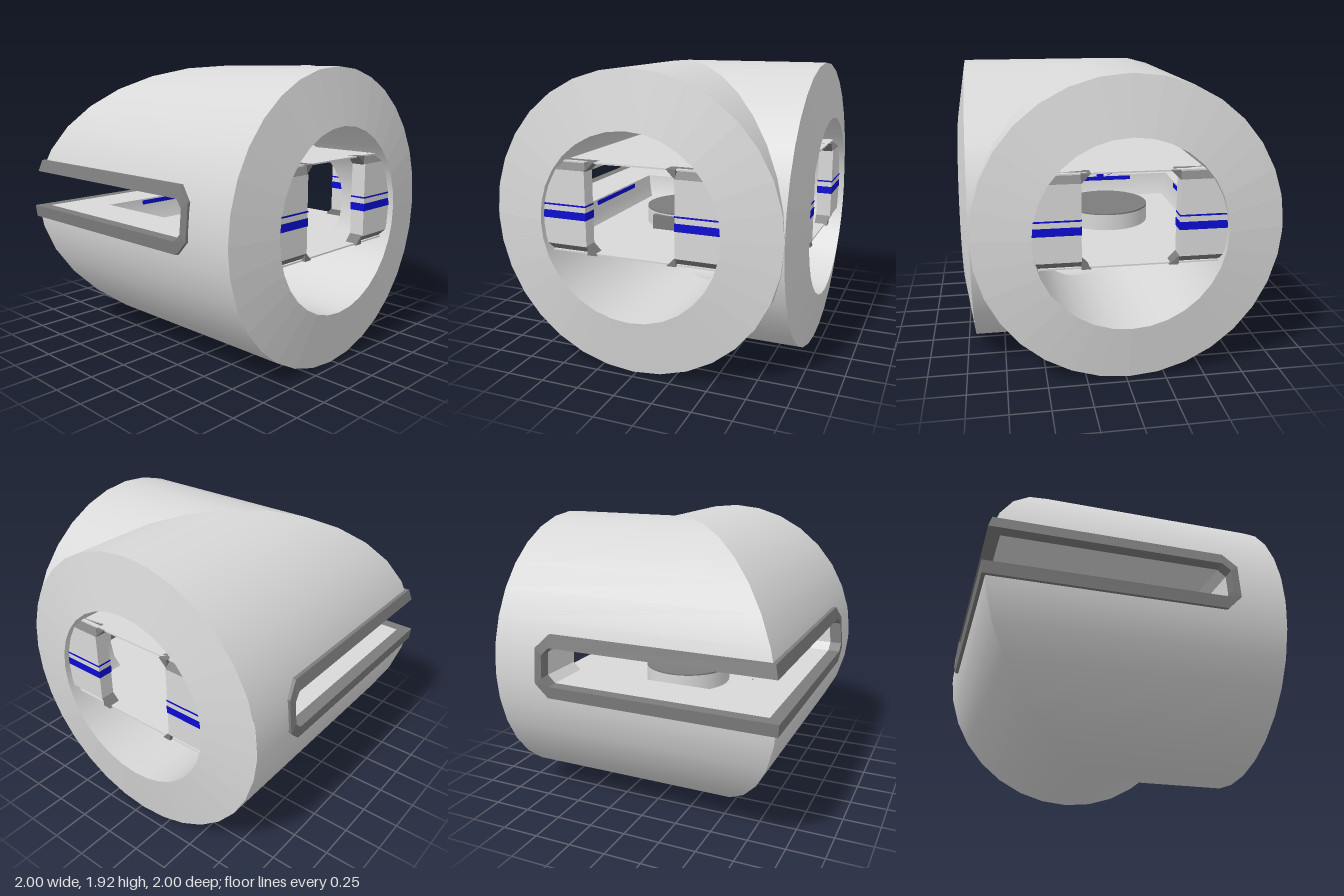
import * as THREE from 'three';

const C = -0.02, CY = 0.965, R = 0.96, BORE = 0.6, RIM = 0.94, FACE = 1.0;
const SLOT = { y0: 0.93, y1: 1.18, end: 0.57, cut: 0.05 };
const TRIM = { y0: 0.85, y1: 1.26, end: 0.62, cut: 0.09 };

const mat = (name, color) => {
  const m = new THREE.MeshStandardMaterial({ color, side: THREE.DoubleSide });
  m.name = name;
  return m;
};

// Geometry from four-cornered patches, with optional radial normals
function patches(quads, normals) {
  const pos = [], nor = [];
  quads.forEach((q, i) => {
    for (const k of [0, 1, 2, 0, 2, 3]) {
      pos.push(...q[k]);
      if (normals) nor.push(...normals[i][k]);
    }
  });
  const g = new THREE.BufferGeometry();
  g.setAttribute('position', new THREE.Float32BufferAttribute(pos, 3));
  if (normals) g.setAttribute('normal', new THREE.Float32BufferAttribute(nor, 3));
  else g.computeVertexNormals();
  return g;
}

// The second arm is the first with x and z exchanged
function swapped(geometry) {
  const g = geometry.index ? geometry.toNonIndexed() : geometry.clone();
  g.applyMatrix4(new THREE.Matrix4().set(0, 0, 1, 0, 0, 1, 0, 0, 1, 0, 0, 0, 0, 0, 0, 1));
  for (const a of Object.values(g.attributes)) {
    const n = a.itemSize;
    for (let i = 0; i < a.count; i += 3) {
      for (let k = 0; k < n; k++) {
        const p = (i + 1) * n + k, q = (i + 2) * n + k;
        [a.array[p], a.array[q]] = [a.array[q], a.array[p]];
      }
    }
  }
  return g;
}

// Tube wall along z, mitred on the diagonal and open at the corner slot
function tubeWall(r, end, inward) {
  const angles = [];
  for (let i = 0; i <= 32; i++) angles.push(i / 32 * Math.PI * 2);
  const { y0, y1, cut } = SLOT;
  for (const y of [y0, y0 + cut, y1 - cut, y1]) angles.push(Math.PI - Math.asin((y - CY) / r));
  angles.sort((a, b) => a - b);
  const quads = [], normals = [];
  for (let i = 0; i + 1 < angles.length; i++) {
    const a = angles[i], b = angles[i + 1];
    if (b - a < 1e-5) continue;
    const m = (a + b) / 2, my = CY + r * Math.sin(m);
    const open = Math.cos(m) < 0 && my > y0 && my < y1;
    const start = (t) => {
      if (!open) return C + r * Math.cos(t);
      const y = CY + r * Math.sin(t);
      return SLOT.end - Math.max(0, cut - Math.min(y - y0, y1 - y));
    };
    const pt = (t, z) => [C + r * Math.cos(t), CY + r * Math.sin(t), z];
    const s = inward ? -1 : 1;
    const n = (t) => [s * Math.cos(t), s * Math.sin(t), 0];
    const q = [pt(a, start(a)), pt(b, start(b)), pt(b, end), pt(a, end)];
    const qn = [n(a), n(b), n(b), n(a)];
    quads.push(inward ? q.reverse() : q);
    normals.push(inward ? qn.reverse() : qn);
  }
  return patches(quads, normals);
}

// Gently coned ring that closes the tube end
function endRing() {
  const quads = [];
  for (let i = 0; i < 32; i++) {
    const pt = (k, r, z) => {
      const t = k / 32 * Math.PI * 2;
      return [C + r * Math.cos(t), CY + r * Math.sin(t), z];
    };
    quads.push([pt(i, BORE, FACE), pt(i, R, RIM), pt(i + 1, R, RIM), pt(i + 1, BORE, FACE)]);
  }
  return patches(quads);
}

// Chamfered slot outline laid on a cylinder of radius r, starting at the mitre
function slotLoop({ y0, y1, end, cut }, r) {
  return [[y0], [y0, end - cut], [y0 + cut, end], [y1 - cut, end], [y1, end - cut], [y1]].map(([y, z]) => {
    const x = C - Math.sqrt(r * r - (y - CY) ** 2);
    return [x, y, z === undefined ? x : z];
  });
}
function bridge(a, b) {
  const quads = [];
  for (let i = 0; i + 1 < a.length; i++) quads.push([a[i], a[i + 1], b[i + 1], b[i]]);
  return quads;
}

function box(w, h, d, x, y, z) {
  return new THREE.BoxGeometry(w, h, d).translate(x, y, z);
}

// Cross-section given as [z, y], extruded along x
function barAlongX(points, x0, x1) {
  const s = new THREE.Shape(points.map(([z, y]) => new THREE.Vector2(-z, y)));
  return new THREE.ExtrudeGeometry(s, { depth: x1 - x0, bevelEnabled: false }).rotateY(Math.PI / 2).translate(x0, 0, 0);
}

export function createModel() {
  const model = new THREE.Group();
  model.name = 'elbowModule';
  const shell = mat('light grey shell', 0xd8d8d8);
  const dark = mat('dark grey trim', 0x7c7c7c);
  const blue = mat('blue accent', 0x0c0cd0);
  const add = (name, g, m, parent = model) => {
    const mesh = new THREE.Mesh(g, m);
    mesh.name = name;
    parent.add(mesh);
  };
  const arms = ['frontArm', 'sideArm'].map((name) => {
    const g = new THREE.Group();
    g.name = name;
    model.add(g);
    return g;
  });
  const both = (name, g, m) => {
    add(name, g, m, arms[0]);
    add(name, swapped(g), m, arms[1]);
  };

  // Hollow mitred shell
  both('outerWall', tubeWall(R, RIM, false), shell);
  both('boreWall', tubeWall(BORE, FACE, true), shell);
  both('endRing', endRing(), shell);

  // Corner window and its raised frame
  const lip = slotLoop(SLOT, 0.98), rim = slotLoop(TRIM, 0.98);
  both('windowFrame', patches([
    ...bridge(lip, rim),
    ...bridge(rim, slotLoop(TRIM, 0.94)),
    ...bridge(slotLoop(SLOT, 0.9), lip),
  ]), dark);
  both('windowReveal', patches(bridge(slotLoop(SLOT, BORE), slotLoop(SLOT, 0.9))), shell);

  // Deck and ceiling following the elbow
  const plan = new THREE.Shape([[-0.58, -0.58], [0.93, -0.58], [0.93, 0.54], [0.54, 0.54], [0.54, 0.93], [-0.58, 0.93]]
    .map(([x, z]) => new THREE.Vector2(x, z)));
  for (const [name, y, m] of [['deck', 0.765, shell], ['ceiling', 1.35, shell]]) {
    add(name, new THREE.ExtrudeGeometry(plan, { depth: 0.01, bevelEnabled: false }).rotateX(Math.PI / 2).translate(0, y, 0), m);
  }

  // Doorway panels with chamfered edges and blue stripes
  const z0 = 0.86, z1 = 0.96, lo = 0.755, hi = 1.35, ch = 0.055;
  for (const [side, a, b] of [[-1, -0.62, -0.32], [1, 0.28, 0.58]]) {
    both('doorPanel', barAlongX([[z0, lo + ch], [z1, lo + ch], [z1, hi - ch], [z0, hi - ch]], a, b), shell);
    both('panelTopChamfer', barAlongX([[z0, hi - ch], [z1, hi - ch], [z1 - ch, hi], [z0, hi]], a, b), dark);
    both('panelBottomChamfer', barAlongX([[z0, lo], [z1 - ch, lo], [z1, lo + ch], [z0, lo + ch]], a, b), dark);
    for (const [y, h] of [[1.005, 0.05], [1.07, 0.01]]) {
      both('panelStripe', box(b - a + 0.006, h, z1 - z0 + 0.006, (a + b) / 2, y, (z0 + z1) / 2), blue);
    }
    // Corner gussets that make the doorway eight-sided
    const jamb = side < 0 ? b : a;
    for (const [y, s] of [[lo, 1], [hi, -1]]) {
      const tri = new THREE.Shape([[jamb, y], [jamb - side * 0.06, y], [jamb, y + s * 0.06]]
        .map(([px, py]) => new THREE.Vector2(px, py)));
      both('doorGusset', new THREE.ExtrudeGeometry(tri, { depth: 0.09, bevelEnabled: false }).translate(0, 0, z0), dark);
    }
  }
  both('wallStripe', box(0.6, 0.03, 0.008, C, 0.905, -0.612), blue);

  // Round pedestal, ceiling drum and entry step
  const drum = (r, ya, yb) => new THREE.CylinderGeometry(r, r, yb - ya, 32).translate(C, (ya + yb) / 2, C);
  add('pedestal', drum(0.3, 0.765, 0.875), shell);
  add('pedestalRim', drum(0.3, 0.875, 0.885), dark);
  add('ceilingDrum', drum(0.3, 1.29, 1.34), shell);
  add('ceilingDrumRim', drum(0.29, 1.262, 1.29), dark);
  add('entryStep', box(0.29, 0.1, 0.04, C - 0.005, 0.815, 0.27), dark);

  // Pendant lights
  for (const [x, y, z] of [[-0.045, 1.095, 0.015], [0.01, 1.145, 0], [-0.03, 1.115, -0.045]]) {
    add('pendantCord', new THREE.CylinderGeometry(0.003, 0.003, 1.265 - y, 6).translate(x, (1.265 + y) / 2, z), dark);
    add('pendantLamp', new THREE.CylinderGeometry(0.026, 0.026, 0.042, 12).translate(x, y, z), blue);
    add('pendantCap', new THREE.CylinderGeometry(0.018, 0.024, 0.008, 12).translate(x, y + 0.025, z), dark);
  }
  return model;
}
